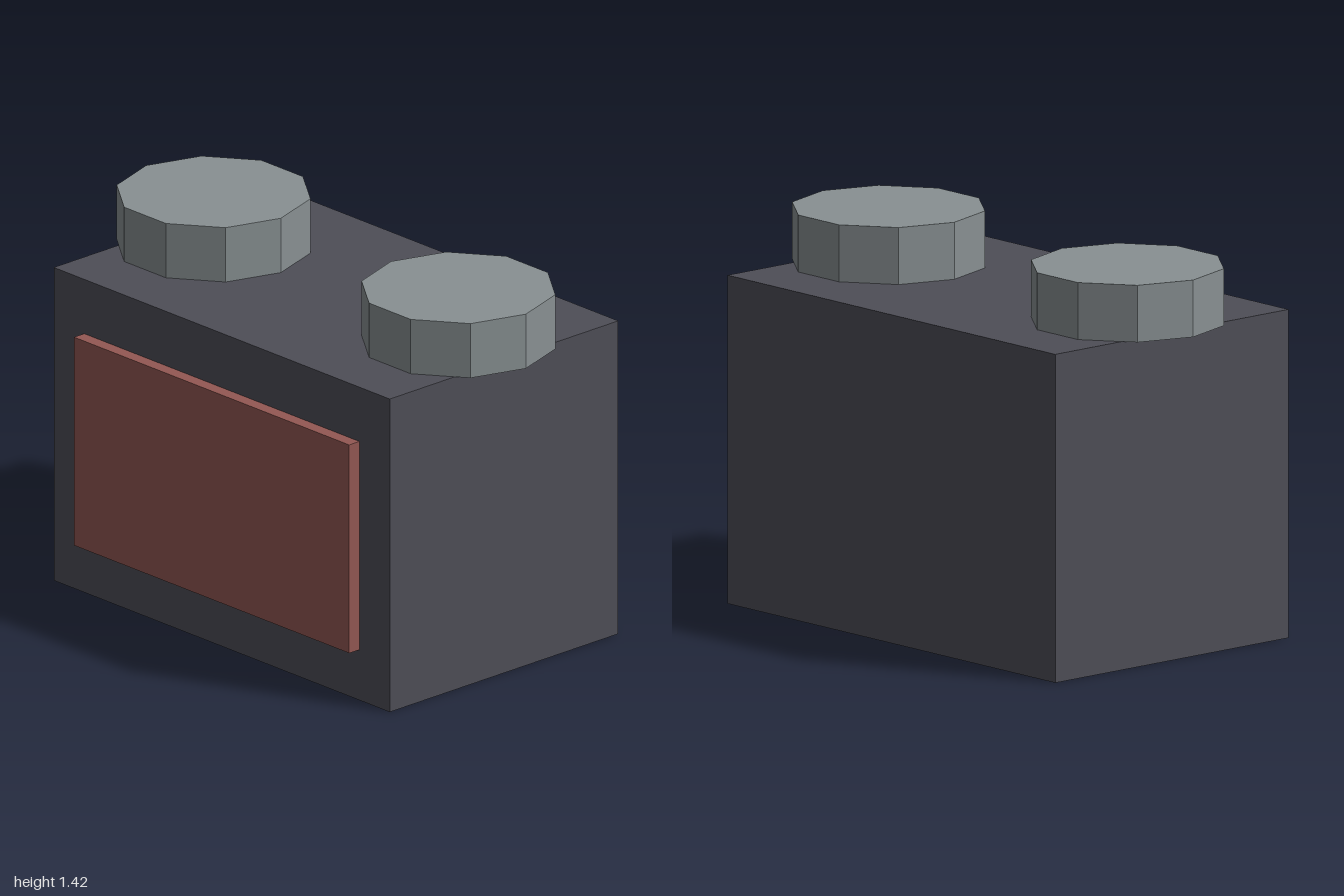
import * as THREE from 'three';

export function createModel() {
  const model = new THREE.Group();
  model.name = 'battery';

  const material = (name, color) => {
    const m = new THREE.MeshStandardMaterial({ color, flatShading: true });
    m.name = name;
    return m;
  };
  const casing = material('dark grey casing', 0x4e4e57);
  const label = material('dull red', 0x935853);
  const metal = material('grey metal', 0x889092);

  const add = (name, geometry, mat, x, y, z) => {
    const mesh = new THREE.Mesh(geometry, mat);
    mesh.name = name;
    mesh.position.set(x, y, z);
    model.add(mesh);
  };

  // Main block standing on the ground
  add('body', new THREE.BoxGeometry(1.77, 1.21, 1.125), casing, 0, 0.605, -0.025);

  // Raised panel on the front
  add('frontPanel', new THREE.BoxGeometry(1.45, 0.805, 0.05), label, 0, 0.5975, 0.5625);

  // Ten-sided terminals overhanging the sides, with a corner pointing along x
  for (const [name, side] of [['leftTerminal', 1], ['rightTerminal', -1]]) {
    const disc = new THREE.CylinderGeometry(0.355, 0.355, 0.21, 10, 1, false, Math.PI / 2);
    add(name, disc, metal, side * 0.645, 1.315, -0.025);
  }

  return model;
}
